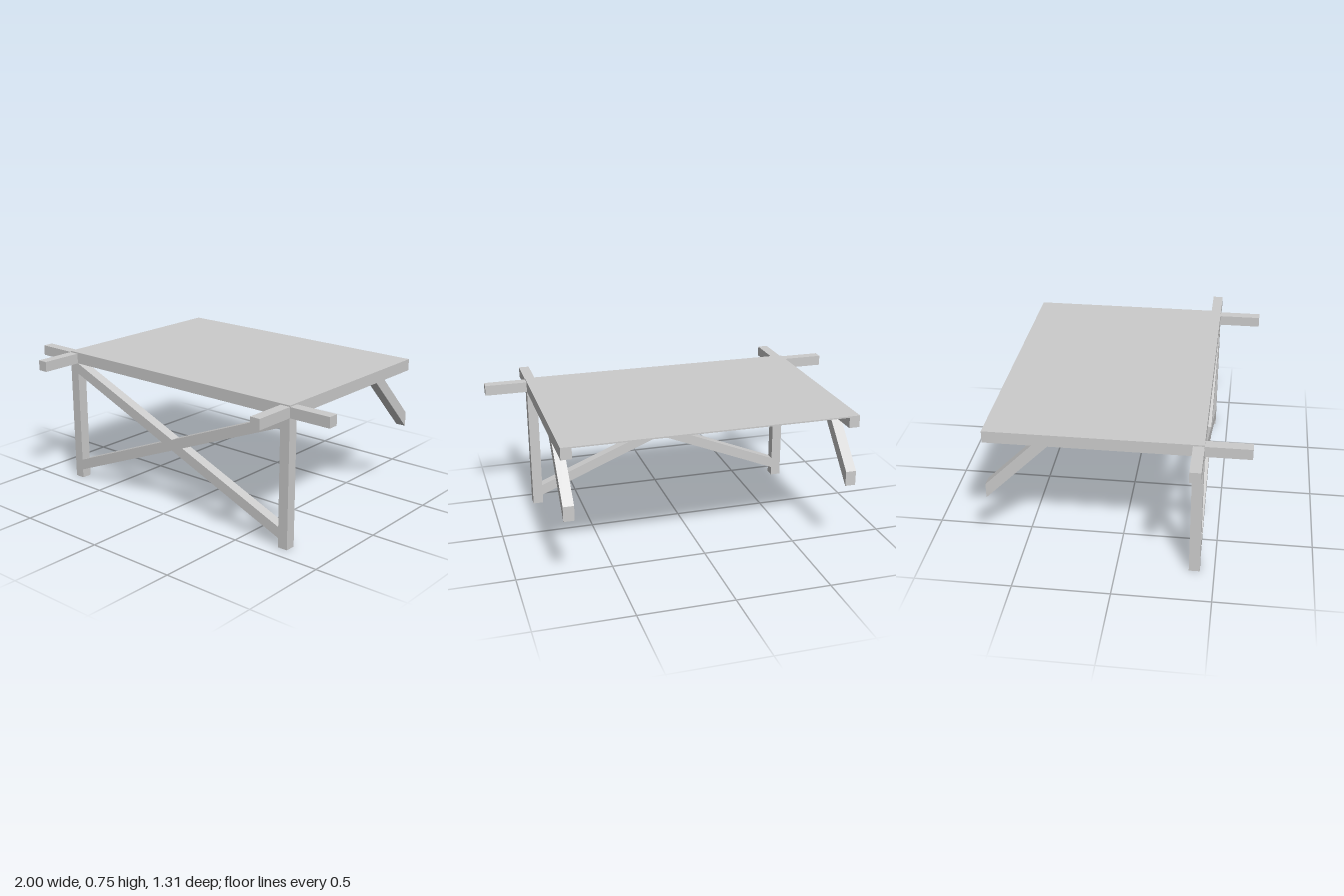
import * as THREE from 'three';

const T = 0.056;            // timber thickness
const RAIL_Y = 0.69;        // underside of the top frame
const TOP_Y = RAIL_Y + T;   // upper face of the top frame
const SIDE_X = 0.743;       // centre of legs and side rails
const LEG_Z = 0.398;        // centre of the front frame
const BACK_Z = -0.656;

const material = new THREE.MeshStandardMaterial({ color: 0xcccccc, flatShading: true });

export function createModel() {
  const model = new THREE.Group();

  const add = (name, geometry, x, y, z) => {
    const mesh = new THREE.Mesh(geometry, material);
    mesh.name = name;
    mesh.position.set(x, y, z);
    model.add(mesh);
  };
  const box = (name, w, h, d, x, y, z) => add(name, new THREE.BoxGeometry(w, h, d), x, y, z);

  // Flat outline extruded to timber thickness, centred on its plane
  const plank = (points) => {
    const shape = new THREE.Shape(points.map(([u, v]) => new THREE.Vector2(u, v)));
    return new THREE.ExtrudeGeometry(shape, { depth: T, bevelEnabled: false }).translate(0, 0, -T / 2);
  };

  // Thin table top
  const topDepth = LEG_Z + T / 2 - BACK_Z;
  box('tableTop', 2 * SIDE_X + T, 0.007, topDepth, 0, TOP_Y + 0.0035, BACK_Z + topDepth / 2);

  // Front beam running past both legs
  box('frontBeam', 2, T, T, 0, RAIL_Y + T / 2, LEG_Z);

  // Cross slats under the top
  const pitch = 0.217;
  for (let i = 1; i <= 4; i++) {
    box('slat', 2 * SIDE_X - T, T, T, 0, RAIL_Y + T / 2, LEG_Z - i * pitch);
  }

  for (const side of [-1, 1]) {
    // Leg and side rail
    box('leg', T, TOP_Y, T, side * SIDE_X, TOP_Y / 2, LEG_Z);
    box('sideRail', T, T, -2 * BACK_Z, side * SIDE_X, RAIL_Y + T / 2, 0);

    // Slanted rear brace, cut upright at its end
    const brace = plank([[-0.333, RAIL_Y], [-0.412, RAIL_Y], [BACK_Z, 0.446], [BACK_Z, 0.367]]);
    add('rearBrace', brace.rotateY(-Math.PI / 2), side * SIDE_X, 0, 0);

    // Diagonal of the front cross, cut upright against the legs
    const e = SIDE_X - T / 2, s = side * 0.29, h = 0.03, mid = 0.37;
    const diagonal = plank([
      [-e, mid - s - h], [e, mid + s - h], [e, mid + s + h], [-e, mid - s + h],
    ]);
    add('crossBrace', diagonal, 0, 0, LEG_Z);
  }

  return model;
}
